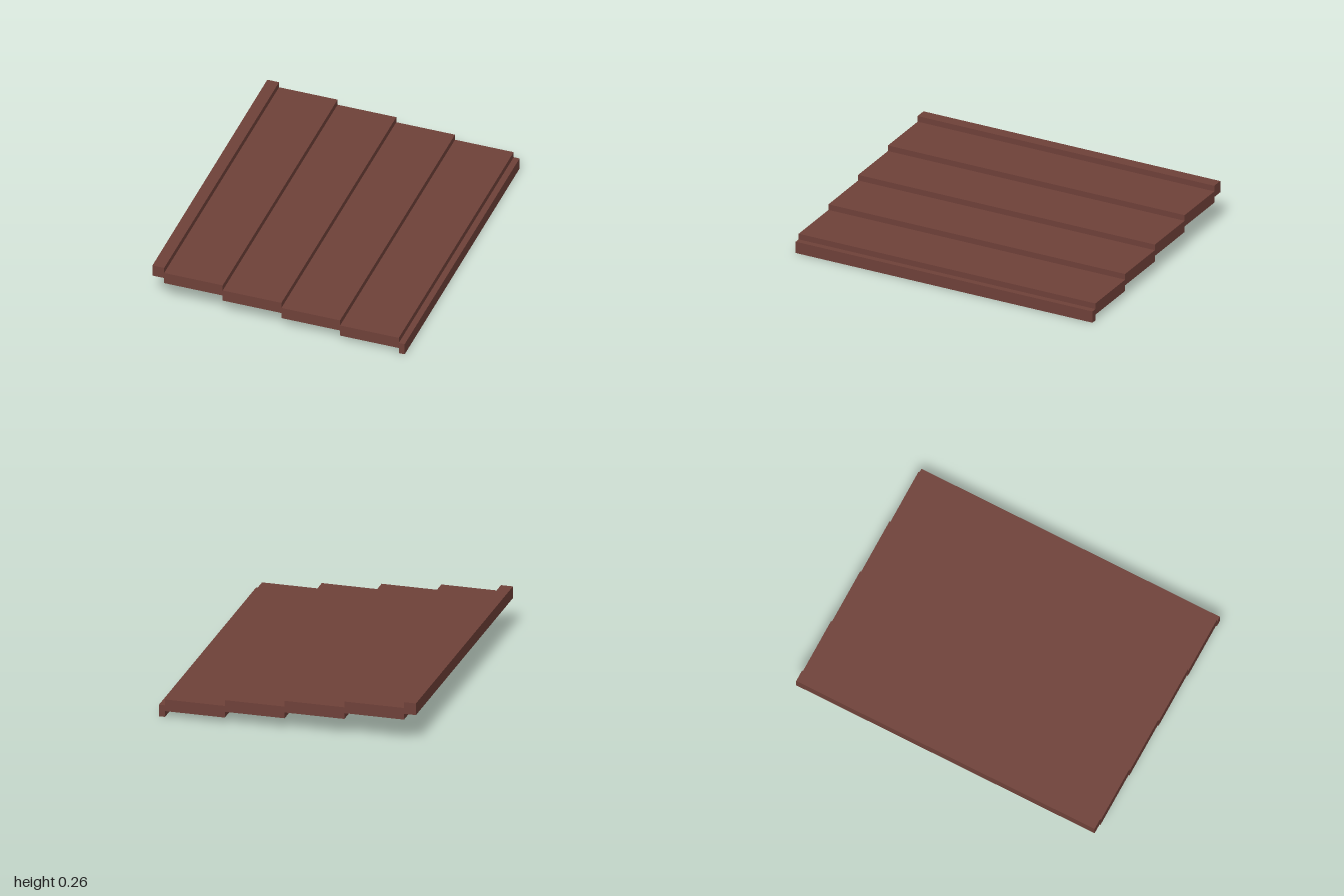
import * as THREE from 'three';

export function createModel() {
  const group = new THREE.Group();
  group.name = 'steppedRoofPanel';
  const brown = new THREE.MeshStandardMaterial({ color: 0x6f4139 });
  brown.name = 'reddishBrown';

  const step = 0.037;
  const thickness = step * 2;
  const length = 2;

  // Plank edges from the high side to the low side
  const edges = [-0.795, -0.721, -0.352, 0.018, 0.388, 0.758, 0.795];
  const names = ['upperLip', 'plank1', 'plank2', 'plank3', 'plank4', 'lowerLip'];

  // Each plank sits half a thickness below the one before it
  names.forEach((name, i) => {
    const width = edges[i + 1] - edges[i];
    const plank = new THREE.Mesh(new THREE.BoxGeometry(width, thickness, length), brown);
    plank.name = name;
    plank.position.set(edges[i] + width / 2, step * (names.length - 1 - i) + thickness / 2, 0);
    group.add(plank);
  });

  return group;
}
